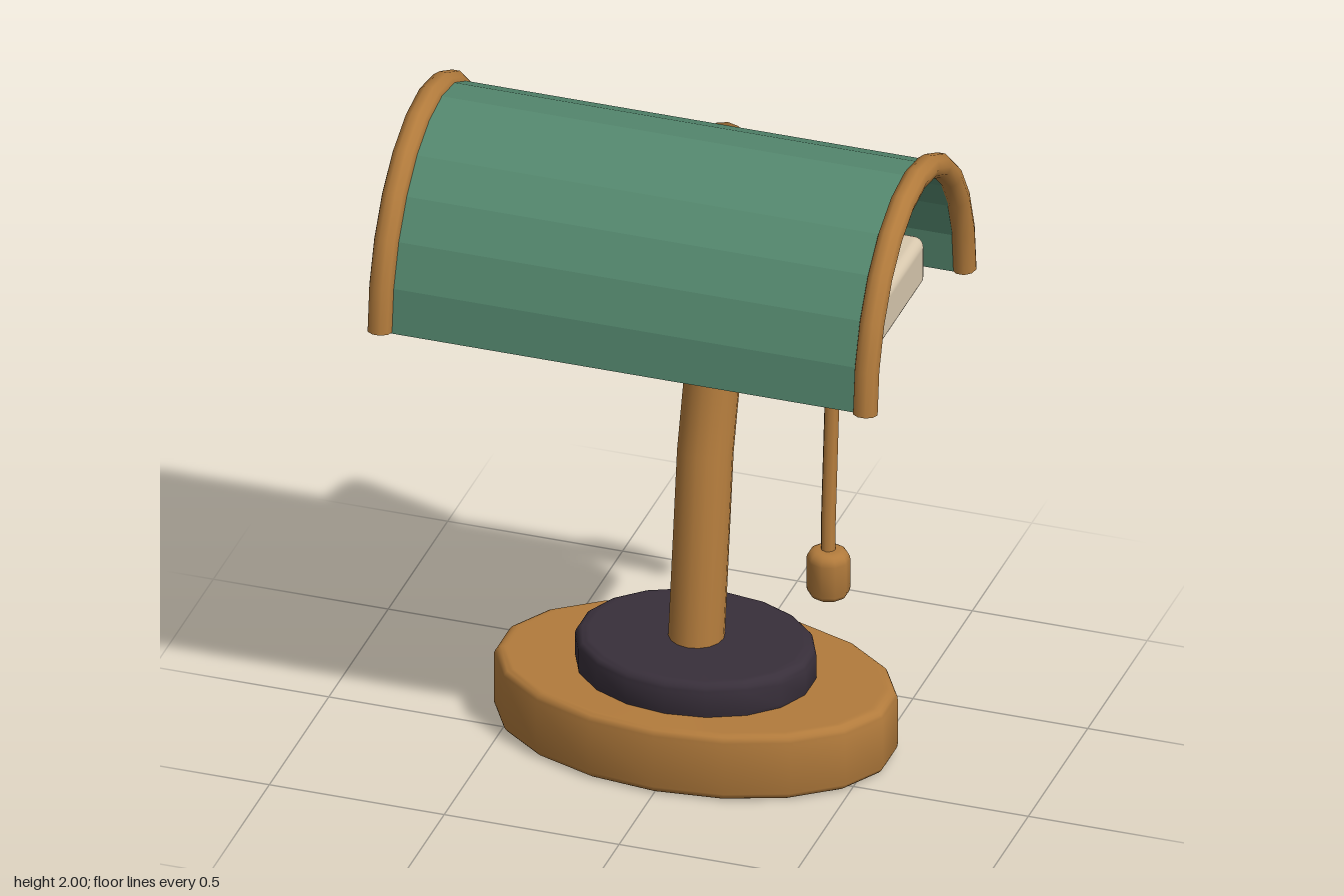
import * as THREE from 'three';
import { toCreasedNormals } from 'three/addons/utils/BufferGeometryUtils.js';
import { RoundedBoxGeometry } from 'three/addons/geometries/RoundedBoxGeometry.js';

const material = (name, color, flatShading = false) => {
  const m = new THREE.MeshStandardMaterial({ color, flatShading });
  m.name = name;
  return m;
};

// Straight-segmented path with averaged tangents at its joints
class Polyline extends THREE.Curve {
  constructor(points) {
    super();
    this.points = points.map((p) => new THREE.Vector3(...p));
    this.count = points.length - 1;
  }
  getPoint(t) {
    const i = Math.min(Math.floor(t * this.count + 1e-6), this.count - 1);
    return this.points[i].clone().lerp(this.points[i + 1], t * this.count - i);
  }
  getPointAt(t) { return this.getPoint(t); }
  getTangentAt(t) {
    const i = Math.round(t * this.count), p = this.points, d = new THREE.Vector3();
    if (i > 0) d.add(p[i].clone().sub(p[i - 1]).normalize());
    if (i < this.count) d.add(p[i + 1].clone().sub(p[i]).normalize());
    return d.normalize();
  }
}

// Points of a half-ellipse arch from front to back
function arch(rz, ry, z0, y0, segments = 12) {
  return Array.from({ length: segments + 1 }, (_, i) => {
    const a = (i / segments) * Math.PI;
    return [z0 + rz * Math.cos(a), y0 + ry * Math.sin(a)];
  });
}

// Elliptical disc with rounded rims
function roundedDisc(rx, rz, height, bevel, sides) {
  const points = [new THREE.Vector2(0, 0), new THREE.Vector2(rx - bevel * 1.3, 0)];
  for (const [y, start] of [[bevel, -Math.PI / 2], [height - bevel, 0]]) {
    for (let i = 0; i <= 5; i++) {
      const a = start + (i / 5) * Math.PI / 2;
      points.push(new THREE.Vector2(rx - bevel + bevel * Math.cos(a), y + bevel * Math.sin(a)));
    }
  }
  points.push(new THREE.Vector2(rx - bevel * 1.3, height), new THREE.Vector2(0, height));
  const geometry = new THREE.LatheGeometry(points, sides);
  geometry.scale(1, 1, rz / rx);
  return toCreasedNormals(geometry, 0.85);
}

export function createModel() {
  const model = new THREE.Group();
  const wood = material('warm wood', 0xb27b3c);
  const dark = material('dark plum', 0x382f3a);
  const green = material('shade green', 0x55896f, true);
  const cream = material('cream', 0xd8c8ae);

  function add(name, geometry, mat, x = 0, y = 0, z = 0, parent = model) {
    const mesh = new THREE.Mesh(geometry, mat);
    mesh.name = name;
    mesh.position.set(x, y, z);
    parent.add(mesh);
    return mesh;
  }

  // Tube along a polyline with flat end caps
  function addRod(name, points, radius, sides) {
    const rod = new THREE.Group();
    rod.name = name;
    model.add(rod);
    const path = new Polyline(points);
    add(name + 'Tube', new THREE.TubeGeometry(path, path.count, radius, sides), wood, 0, 0, 0, rod);
    for (const t of [0, 1]) {
      const cap = add(name + 'Cap', new THREE.CircleGeometry(radius, sides), wood, 0, 0, 0, rod);
      cap.position.copy(path.getPoint(t));
      const outward = path.getTangentAt(t).multiplyScalar(t ? 1 : -1);
      cap.quaternion.setFromUnitVectors(new THREE.Vector3(0, 0, 1), outward);
    }
  }

  // Stepped oval foot
  add('base', roundedDisc(0.565, 0.357, 0.2, 0.03, 18), wood, 0, 0, -0.145);
  add('basePlinth', roundedDisc(0.335, 0.265, 0.12, 0.03, 18), dark, 0, 0.18, -0.145);

  // Bent arm reaching through the back of the shade
  addRod('arm', [
    [0, 0.25, -0.145], [0, 0.835, -0.226], [0, 1.42, -0.395],
    [0, 1.706, -0.36], [0, 1.815, 0.013],
  ], 0.077, 16);

  // Arched shade, open at both ends and underneath
  const outline = [...arch(0.423, 0.51, 0.048, 1.46), ...arch(0.383, 0.468, 0.048, 1.46).reverse()];
  const shade = new THREE.ExtrudeGeometry(
    new THREE.Shape(outline.map((p) => new THREE.Vector2(...p))),
    { depth: 1.38, bevelEnabled: false },
  );
  shade.rotateY(-Math.PI / 2);
  add('shade', shade, green, 0.69);

  // Round trim on both shade ends
  for (const side of [-1, 1]) {
    const points = arch(0.415, 0.502, 0.055, 1.463).map(([z, y]) => [side * 0.694, y, z]);
    addRod(side > 0 ? 'leftTrim' : 'rightTrim', points, 0.035, 10);
  }

  // Light panel inside the shade
  add('lightPanel', new RoundedBoxGeometry(1.22, 0.15, 0.69, 3, 0.03), cream, 0, 1.515, 0.055);

  // Pull cord and knob
  addRod('pullCord', [[0.56, 1.47, 0.352], [0.56, 1.06, 0.387], [0.565, 0.95, 0.402]], 0.021, 8);
  add('pullKnob', roundedDisc(0.06, 0.056, 0.147, 0.03, 10), wood, 0.565, 0.83, 0.402);

  return model;
}
